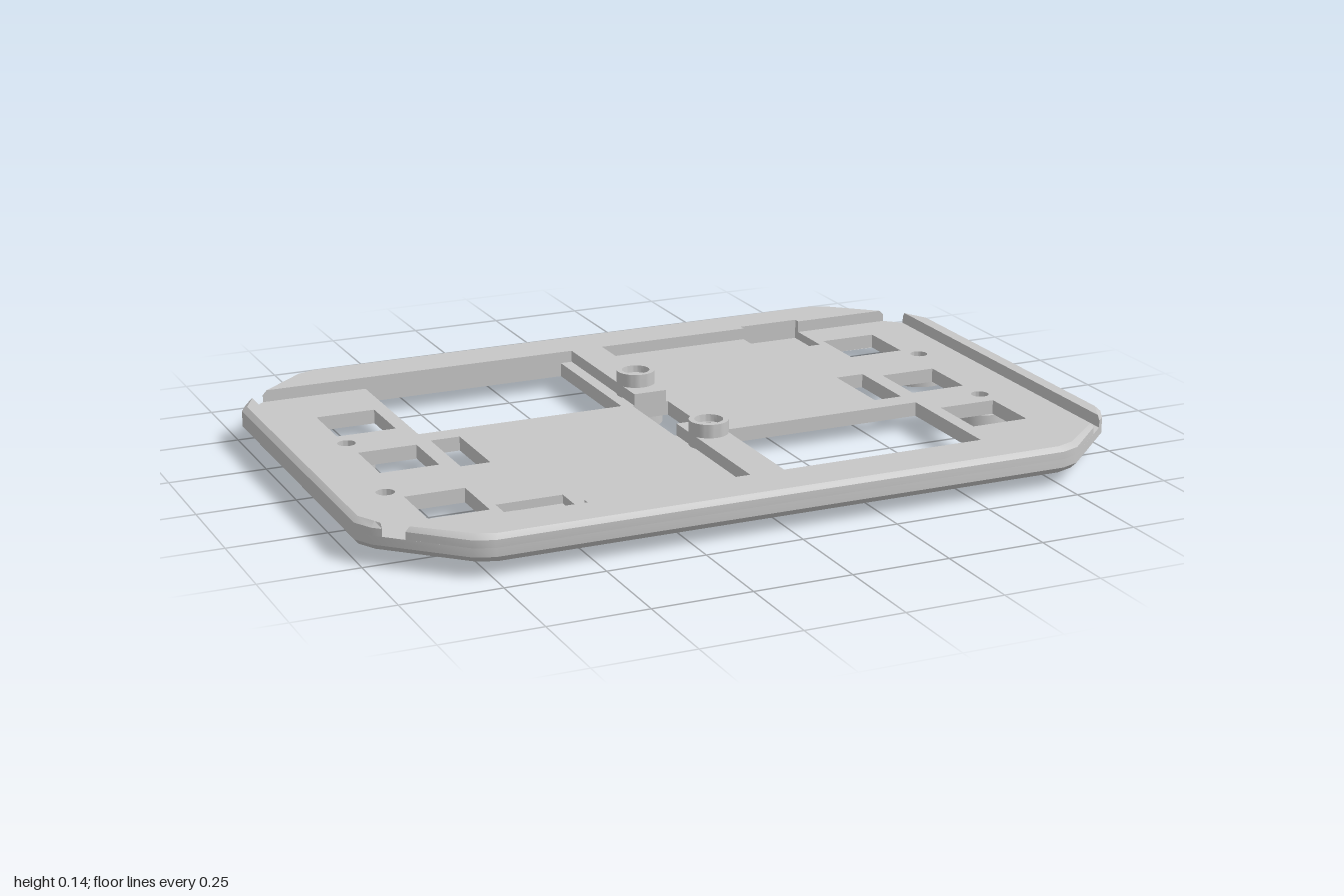
import * as THREE from 'three';
import { toCreasedNormals } from 'three/addons/utils/BufferGeometryUtils.js';

const plateGray = new THREE.MeshStandardMaterial({ color: 0xc6c6c6 });
plateGray.name = 'plateGray';

// Heights of the layers: underside, pocket floor, recess floor, rim chamfer, rim top
const Y = { under: 0.037, pocket: 0.052, floor: 0.074, chamfer: 0.093, rim: 0.105 };

const turn = (pts) => pts.map(([x, z]) => [-x, -z]); // half turn about the centre
const rect = (x0, x1, z0, z1) => [[x0, z0], [x0, z1], [x1, z1], [x1, z0]];

// Outer edge: a rectangle with cut, softened corners
const corner = [[1, 0.45], [0.975, 0.498], [0.793, 0.672], [0.745, 0.69]];
const mirrorX = (pts) => pts.map(([x, z]) => [-x, z]).reverse();
const half = [...corner, ...mirrorX(corner)];
const outline = [...half, ...turn(half)];

// Openings; each has a twin half a turn away
const openings = [
  rect(0.077, 0.633, 0.143, 0.557), // large window
  rect(0.67, 0.825, 0.21, 0.378), // square holes
  rect(0.665, 0.817, -0.098, 0.068),
  rect(0.667, 0.82, -0.448, -0.282),
  rect(0.545, 0.622, -0.132, 0.083), // slot
];
const centreSlot = rect(-0.05, 0.05, -0.132, 0.132);
const pocket = rect(0.473, 0.643, -0.575, -0.423);
const bolts = [[0.85, -0.233], [0.82, 0.15], [0, 0.226]];
const allBolts = [...bolts, ...turn(bolts)];
const twice = (list) => list.flatMap((p) => [p, turn(p)]);

const toPath = (pts, Type) => new Type(pts.map(([x, z]) => new THREE.Vector2(x, -z)));
const boltPath = ([x, z]) => new THREE.Path().absarc(x, -z, 0.023, 0, Math.PI * 2);

function mesh(name, geometry) {
  const m = new THREE.Mesh(toCreasedNormals(geometry, 0.6), plateGray);
  m.name = name;
  return m;
}

// Flat layer from y0 to y1; the outer edge at height chamferY is pulled inward
function layer(name, pts, holes, boltHoles, y0, y1, chamferY) {
  const shape = toPath(pts, THREE.Shape);
  shape.holes = [...holes.map((h) => toPath(h, THREE.Path)), ...boltHoles.map(boltPath)];
  const g = new THREE.ExtrudeGeometry(shape, { depth: y1 - y0, bevelEnabled: false, curveSegments: 24 });
  g.rotateX(-Math.PI / 2).translate(0, y0, 0);
  const p = g.attributes.position;
  for (let i = 0; i < p.count; i++) {
    const x = p.getX(i), z = p.getZ(i), ax = Math.abs(x), az = Math.abs(z);
    const onEdge = ax > 0.96 || az > 0.66 || ax + az > 1.455;
    if (onEdge && chamferY !== undefined && Math.abs(p.getY(i) - chamferY) < 1e-4) {
      // Rim ends slide along their straight inner walls
      if (Math.abs(az - 0.557) > 1e-3) p.setZ(i, z * 0.983);
      if (Math.abs(ax - 0.955) > 1e-3) p.setX(i, x * 0.988);
    }
  }
  return mesh(name, g);
}

// Turned ring from a closed profile of radius and height
function ring(name, profile, [x, z]) {
  const pts = [...profile, profile[0]].map(([r, y]) => new THREE.Vector2(r, y));
  const m = mesh(name, new THREE.LatheGeometry(pts, 40));
  m.position.set(x, 0, z);
  return m;
}

export function createModel() {
  const model = new THREE.Group();
  model.name = 'basePlate';

  // Floor in two layers, the upper one also cut by the shallow pockets
  const holes = [...twice(openings), centreSlot];
  model.add(layer('lowerFloor', outline, holes, allBolts, Y.under, Y.pocket, Y.under));
  model.add(layer('upperFloor', outline, [...holes, ...twice([pocket])], allBolts, Y.pocket, Y.floor));

  // Raised long rim with half of the centre rib, notched above the pocket
  const longRim = [
    [0.045, -0.132], [0.045, -0.557], [0.473, -0.557], [0.473, -0.575], [0.643, -0.575], [0.643, -0.557],
    [0.913, -0.557], [0.793, -0.672], [0.745, -0.69], [-0.745, -0.69], [-0.793, -0.672], [-0.913, -0.557],
    [-0.045, -0.557], [-0.045, -0.132],
  ];
  // Raised short rim along the side
  const sideRim = [
    [0.955, -0.517], [0.975, -0.498], [1, -0.45], [1, 0.45], [0.975, 0.498], [0.955, 0.517],
  ];
  const rims = [
    ['backRim', longRim, [[0, -0.226]]], ['frontRim', turn(longRim), [[0, 0.226]]],
    ['leftRim', sideRim, []], ['rightRim', turn(sideRim), []],
  ];
  for (const [name, pts, boltHoles] of rims) {
    model.add(layer(name, pts, [], boltHoles, Y.floor, Y.chamfer));
    model.add(layer(name + 'Chamfer', pts, [], boltHoles, Y.chamfer, Y.rim, Y.rim));
  }

  // Feet under every bolt hole, and collars on the centre rib
  const foot = [[0.07, 0], [0.07, Y.under], [0.038, Y.under], [0.038, 0]];
  const collar = [[0.05, Y.floor], [0.05, 0.14], [0.036, 0.14], [0.034, 0.122], [0.023, 0.122], [0.023, Y.floor]];
  allBolts.forEach((b) => model.add(ring('foot', foot, b)));
  allBolts.filter(([x]) => Math.abs(x) < 0.01).forEach((b) => model.add(ring('collar', collar, b)));
  return model;
}
